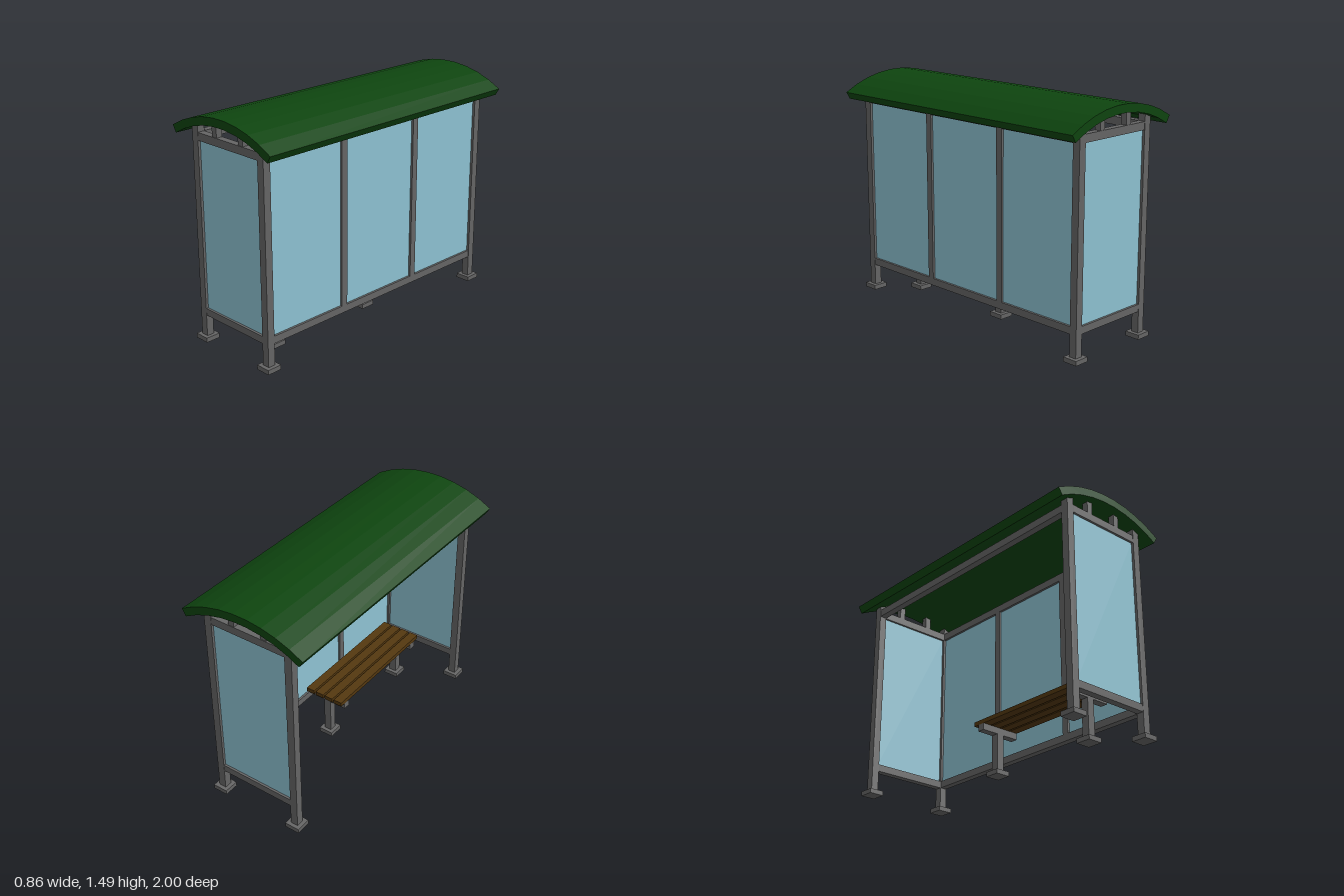
import * as THREE from 'three';

const mat = (color) => new THREE.MeshStandardMaterial({ color });

export function createModel() {
  const model = new THREE.Group();
  const steel = mat(0x666666), glass = mat(0x8fc4d4), green = mat(0x0e450f), wood = mat(0x54380f);

  // box given by its lower and upper corners
  const box = (name, material, [x0, y0, z0], [x1, y1, z1], parent = model) => {
    const mesh = new THREE.Mesh(new THREE.BoxGeometry(x1 - x0, y1 - y0, z1 - z0), material);
    mesh.position.set((x0 + x1) / 2, (y0 + y1) / 2, (z0 + z1) / 2);
    mesh.name = name;
    parent.add(mesh);
  };

  // upright with a square foot plate
  const upright = (name, x, z, top, w = 0.025, parent = model) => {
    box(name, steel, [x - w, 0.03, z - w], [x + w, top, z + w], parent);
    box(name + 'Foot', steel, [x - 0.05, 0, z - 0.05], [x + 0.05, 0.03, z + 0.05], parent);
  };

  const px = 0.287, pz = 0.925; // post centres
  const ix = 0.262, iz = 0.9; // inner faces of the posts
  const low = [0.17, 0.217], high = [1.3, 1.35]; // rail heights
  const r = 0.023; // half rail depth

  // corner posts
  for (const x of [-px, px]) for (const z of [-pz, pz]) upright('cornerPost', x, z, 1.4);

  // end walls: rails, pane and roof struts
  for (const z of [-pz, pz]) {
    for (const [a, b] of [low, high]) box('endRail', steel, [-ix, a, z - r], [ix, b, z + r]);
    box('endGlass', glass, [-ix, low[1], z - 0.008], [ix, high[0], z + 0.008]);
    for (const x of [-0.115, 0.115])
      box('roofStrut', steel, [x - 0.02, high[1], z - 0.02], [x + 0.02, 1.45, z + 0.02]);
  }

  // long rear wall: rails, mullions and three panes
  for (const [a, b] of [low, high]) box('rearRail', steel, [px - r, a, -iz], [px + r, b, iz]);
  const m = 0.315, hw = 0.022;
  for (const z of [-m, m]) box('mullion', steel, [px - r, low[1], z - hw], [px + r, high[0], z + hw]);
  for (const [a, b] of [[-iz, -m - hw], [-m + hw, m - hw], [m + hw, iz]])
    box('rearGlass', glass, [px - 0.008, low[1], a], [px + 0.008, high[0], b]);

  // beam over the open side
  box('entranceBeam', steel, [-px - r, high[0], -iz], [-px + r, high[1], iz]);

  // arched roof with nine facets
  const outer = 0.842, inner = 0.79, cy = 1.492 - outer, half = 0.536, n = 9;
  const arc = (rad) => Array.from({ length: n + 1 }, (_, i) => {
    const a = half * (1 - 2 * i / n);
    return new THREE.Vector2(rad * Math.sin(a), cy + rad * Math.cos(a));
  });
  const section = new THREE.Shape([...arc(outer), ...arc(inner).reverse()]);
  const roofGeo = new THREE.ExtrudeGeometry(section, { depth: 2, bevelEnabled: false });
  roofGeo.translate(0, 0, -1);
  const roof = new THREE.Mesh(roofGeo, green);
  roof.name = 'roof';
  model.add(roof);

  // bench: two legs with cross bars and four slats
  const bench = new THREE.Group();
  bench.name = 'bench';
  model.add(bench);
  const bx = 0.07;
  for (const z of [-0.093, 0.695]) {
    upright('benchLeg', bx, z, 0.275, 0.025, bench);
    box('benchCrossBar', steel, [bx - 0.14, 0.272, z - 0.025], [bx + 0.14, 0.315, z + 0.025], bench);
  }
  for (let i = 0; i < 4; i++) {
    const x = bx + (i - 1.5) * 0.073;
    box('benchSlat', wood, [x - 0.03, 0.315, -0.157], [x + 0.03, 0.343, 0.76], bench);
  }

  return model;
}
